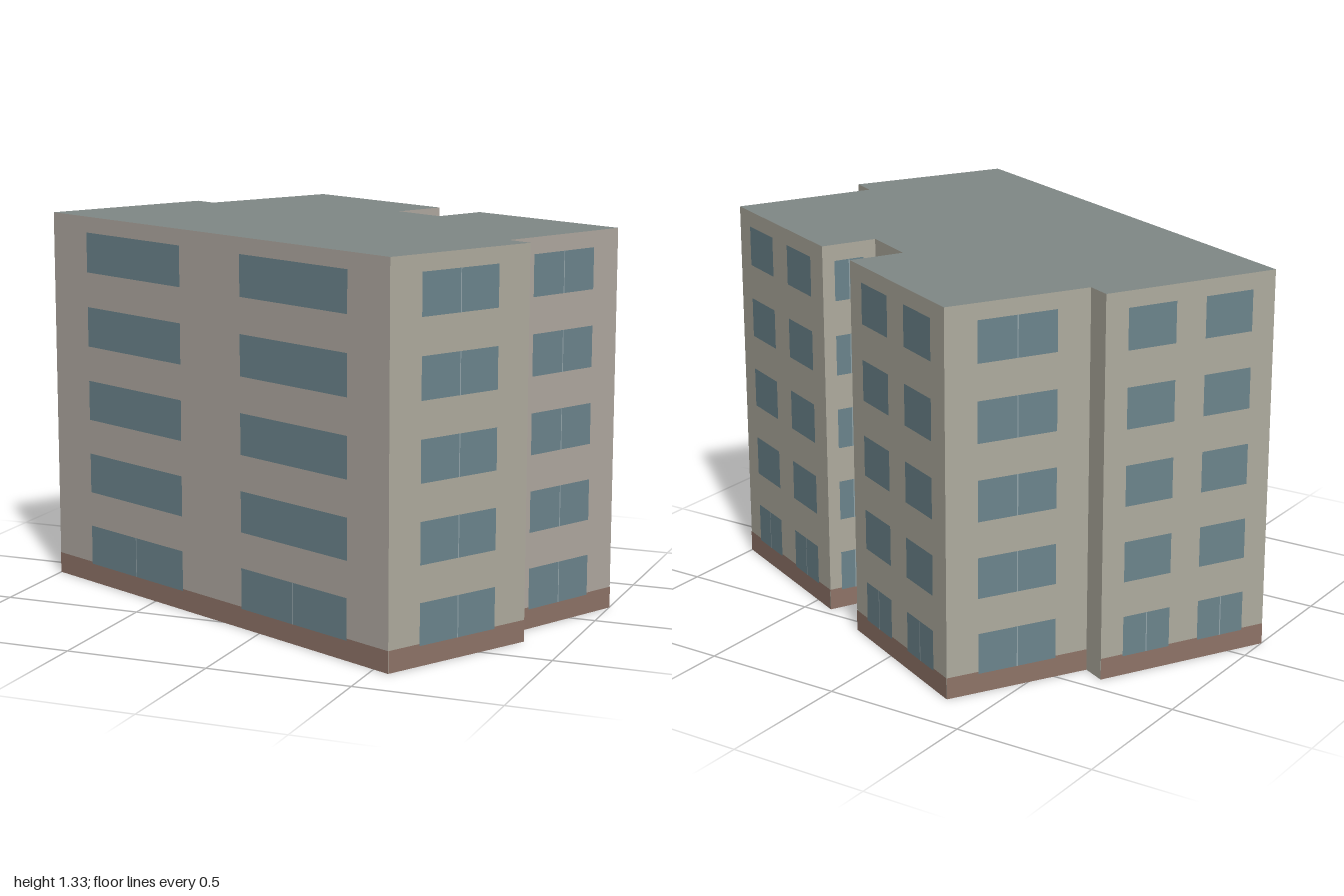
import * as THREE from 'three';

const H = 1.33, BASE = 0.075, FLOORS = 5, STEP = 0.266;

const mat = (color, side = THREE.FrontSide) =>
  new THREE.MeshStandardMaterial({ color, side, roughness: 0.9 });

// Footprint corners (x, z); each carries the window layout of the wall that starts there.
// Layouts are [start, end] fractions along the wall.
const PAIR = [[0.13, 0.41], [0.585, 0.865]];
const SINGLE = [[0.22, 0.77]];
const WARM = 0xb0a9a1, PALE = 0xafac9f;
const walls = [
  { name: 'frontWall', p: [-1, 0.12], windows: [[0.112, 0.41], [0.59, 0.89]], color: WARM },
  { name: 'leftFrontWall', p: [0.56, 0.835], windows: SINGLE, color: PALE },
  { name: 'leftStepWall', p: [0.85, 0.33], windows: null, color: PALE },
  { name: 'leftRearWall', p: [0.765, 0.285], windows: SINGLE, color: WARM },
  { name: 'backLeftWall', p: [1, -0.18], windows: PAIR, color: PALE },
  { name: 'recessLeftWall', p: [0.41, -0.465], windows: SINGLE, color: PALE },
  { name: 'recessBackWall', p: [0.32, -0.285], windows: SINGLE, color: PALE },
  { name: 'recessRightWall', p: [0.135, -0.38], windows: SINGLE, color: WARM },
  { name: 'backRightWall', p: [0.225, -0.555], windows: PAIR, color: PALE },
  { name: 'rightRearWall', p: [-0.35, -0.84], windows: SINGLE, color: PALE },
  { name: 'rightStepWall', p: [-0.61, -0.395], windows: null, color: PALE },
  { name: 'rightFrontWall', p: [-0.69, -0.435], windows: PAIR, color: PALE },
];

const glass = mat(0x6c858d), frame = mat(0x93a5aa), brick = mat(0x8f7468);

// Flat panel in a wall's own plane: x along the wall, z outward.
function panel(name, x0, x1, y0, y1, z, material) {
  const mesh = new THREE.Mesh(new THREE.PlaneGeometry(x1 - x0, y1 - y0), material);
  mesh.position.set((x0 + x1) / 2, (y0 + y1) / 2, z);
  mesh.name = name;
  return mesh;
}

function buildWall({ name, p, windows, color }, next) {
  const dx = next[0] - p[0], dz = next[1] - p[1], len = Math.hypot(dx, dz);
  const wall = new THREE.Group();
  wall.name = name;
  wall.position.set(p[0], 0, p[1]);
  wall.rotation.y = Math.atan2(-dz, dx);
  wall.add(panel('wallSurface', 0, len, 0, H, 0, mat(color, THREE.DoubleSide)));
  if (!windows) return wall;

  // Brick plinth, then one row of windows per floor
  wall.add(panel('plinth', 0, len, 0, BASE, 0.001, brick));
  for (let floor = 0; floor < FLOORS; floor++) {
    const y0 = 0.068 + floor * STEP, y1 = y0 + 0.142;
    for (const [a, b] of windows) {
      wall.add(panel('window', a * len, b * len, y0, y1, 0.002, glass));
      // Centre mullion
      if (floor === 0 || windows.length === 1) {
        const m = (a + b) / 2 * len;
        wall.add(panel('mullion', m - 0.002, m + 0.002, y0, y1, 0.003, frame));
      }
    }
  }
  return wall;
}

export function createModel() {
  const building = new THREE.Group();
  building.name = 'apartmentBlock';
  walls.forEach((w, i) => building.add(buildWall(w, walls[(i + 1) % walls.length].p)));

  // Flat roof over the footprint; the underside of the shell stays open
  const outline = new THREE.Shape(walls.map(({ p }) => new THREE.Vector2(p[0], -p[1])));
  const roof = new THREE.Mesh(
    new THREE.ShapeGeometry(outline).rotateX(-Math.PI / 2),
    mat(0x808886, THREE.DoubleSide));
  roof.position.y = H;
  roof.name = 'roof';
  building.add(roof);
  return building;
}
